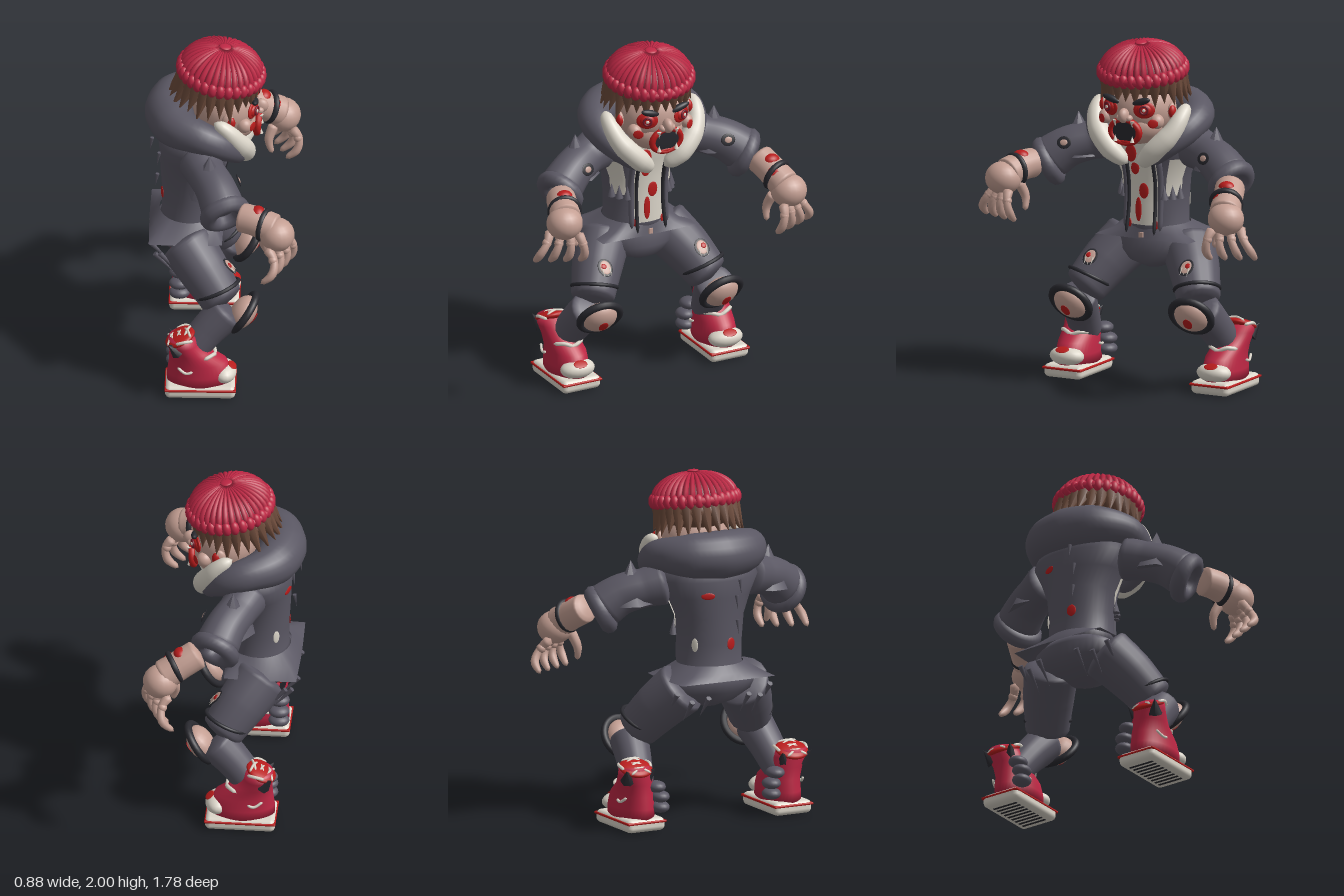
import * as THREE from 'three';
import { mergeVertices } from 'three/addons/utils/BufferGeometryUtils.js';
import { RoundedBoxGeometry } from 'three/addons/geometries/RoundedBoxGeometry.js';

const mat = (name, color) => Object.assign(new THREE.MeshStandardMaterial({ color, side: THREE.DoubleSide }), { name });
const GREY = mat('cloth grey', 0x5a5763), BLACK = mat('black', 0x2a2a30), SKIN = mat('skin', 0xc49f93),
  RED = mat('knit red', 0xbd2744), SEAM = mat('dark seam red', 0x741c2c), BLOOD = mat('blood red', 0xb81c1c),
  HAIR = mat('hair brown', 0x6d4b3b), CREAM = mat('cream', 0xdcd6ca);
const V = (a) => new THREE.Vector3(...a);

export function createModel() {
  const model = new THREE.Group();
  model.name = 'hoodedGhoul';
  let into = model;

  const add = (name, geo, m, pos = [0, 0, 0]) => {
    const mesh = new THREE.Mesh(geo, m);
    mesh.name = name;
    mesh.position.set(...pos);
    into.add(mesh);
    return mesh;
  };
  // Turn a mesh so its z faces a direction while its x stays level
  const aim = (mesh, dir) => {
    mesh.quaternion.setFromRotationMatrix(new THREE.Matrix4().lookAt(V(dir), V([0, 0, 0]), V([0, 1, 0])));
    return mesh;
  };
  const blob = (name, m, pos, size) => {
    const b = add(name, new THREE.SphereGeometry(1, 20, 14), m, pos);
    b.scale.set(...size);
    return b;
  };
  // Thin painted spot facing a direction
  const patch = (name, m, pos, dir, w, h) => aim(blob(name, m, pos, [w, h, 0.0048]), dir);
  const ring = (name, m, pos, dir, r, t) => aim(add(name, new THREE.TorusGeometry(r, t, 10, 32), m, pos), dir);
  const spike = (name, m, pos, dir, r, len) => {
    const c = add(name, new THREE.ConeGeometry(r, len, 7), m, pos);
    c.quaternion.setFromUnitVectors(V([0, 1, 0]), V(dir).normalize());
    return c;
  };
  const smooth = (geo) => {
    geo.deleteAttribute('uv');
    geo.deleteAttribute('normal');
    const g = mergeVertices(geo);
    g.computeVertexNormals();
    return g;
  };
  // Rounded tube of changing radius along a path
  const loft = (name, m, pts, radii, sides = 18, seg = 28, round = 0.08) => {
    const curve = new THREE.CatmullRomCurve3(pts.map(V));
    const geo = new THREE.TubeGeometry(curve, seg, 1, sides);
    const p = geo.attributes.position, v = new THREE.Vector3();
    for (let i = 0; i < p.count; i++) {
      const u = Math.floor(i / (sides + 1)) / seg, c = curve.getPointAt(u);
      const k = u * (radii.length - 1), j = Math.min(Math.floor(k), radii.length - 2);
      const r = THREE.MathUtils.lerp(radii[j], radii[j + 1], k - j);
      const end = Math.min(1, Math.sqrt(Math.min(u, 1 - u) / round));
      v.fromBufferAttribute(p, i).sub(c).multiplyScalar(r * end).add(c);
      p.setXYZ(i, v.x, v.y, v.z);
    }
    return add(name, smooth(geo), m);
  };
  // Stacked ovals: rows of [y, centre x, half x, half z, centre z, squareness], from top to bottom
  const stack = (name, m, rows, grow = 0, start = 0, len = Math.PI * 2) => {
    const n = rows.length - 1, open = len < 6 || grow > 0;
    const geo = new THREE.CylinderGeometry(1, 1, n, 40, n, open, start, len);
    const p = geo.attributes.position;
    for (let i = 0; i < p.count; i++) {
      const [y, cx, rx, rz, cz = 0, sq = 0] = rows[Math.round(n / 2 - p.getY(i))];
      const x = p.getX(i), z = p.getZ(i), k = 1 + sq * (1 / Math.max(Math.abs(x), Math.abs(z), 0.5) - 1);
      p.setXYZ(i, cx + x * k * (rx + grow), y, cz + z * k * (rz + grow));
    }
    return add(name, smooth(geo), m);
  };
  const group = (name, build, pos = [0, 0, 0]) => {
    const g = new THREE.Group(), outer = into;
    g.name = name;
    g.position.set(...pos);
    outer.add(g);
    into = g;
    build();
    into = outer;
    return g;
  };

  // Beanie with ribs and a rolled rim
  group('beanie', () => {
    const dome = add('beanieDome', new THREE.SphereGeometry(1, 36, 10, 0, Math.PI * 2, 0, Math.PI / 2), SEAM);
    dome.scale.set(0.23, 0.155, 0.238);
    for (let i = 0; i < 36; i++) {
      const a = i / 36 * Math.PI * 2, pts = [];
      for (let k = 0; k <= 5; k++) {
        const b = k / 5 * 1.45;
        pts.push([Math.cos(a) * 0.23 * Math.cos(b), 0.155 * Math.sin(b), Math.sin(a) * 0.238 * Math.cos(b)]);
      }
      loft('beanieRib', RED, pts, [0.018, 0.016, 0.011, 0.003], 6, 10);
    }
    for (let i = 0; i < 32; i++) {
      const a = i / 32 * Math.PI * 2;
      blob('rimRib', RED, [Math.cos(a) * 0.232, 0, Math.sin(a) * 0.24], [0.028, 0.042, 0.028]);
    }
    ring('rimCore', RED, [0, 0, 0], [0, 1, 0], 0.233, 0.026);
    blob('beanieButton', RED, [0, 0.158, 0], [0.034, 0.01, 0.034]);
  }, [-0.005, 1.835, 0]).rotation.z = -0.15;

  // Hair: broad overlapping locks, longer and flared at the back
  group('hair', () => {
    blob('hairCap', HAIR, [-0.03, 0.01, 0], [0.228, 0.115, 0.242]);
    for (let i = 0; i < 26; i++) {
      const a = i / 26 * Math.PI * 2, c = Math.cos(a), s = Math.sin(a), back = c < 0.4;
      const len = (back ? 0.17 : 0.13) + (i % 3) * 0.018, lean = back ? 0.55 : 0.2;
      spike('hairLock', HAIR, [c * 0.225 - 0.03, 0.055 - len / 2, s * 0.23], [c * lean, -1, s * lean * 0.6], 0.05, len);
    }
  }, [0, 1.77, 0]).rotation.z = -0.1;

  // Head and face
  group('head', () => {
    blob('skull', SKIN, [0.02, 1.63, 0], [0.19, 0.19, 0.208]);
    blob('jaw', SKIN, [0.07, 1.53, 0], [0.135, 0.115, 0.165]);
    blob('nose', SKIN, [0.222, 1.605, 0], [0.042, 0.043, 0.03]);
    ring('lips', BLOOD, [0.205, 1.51, 0], [1, -0.1, 0], 0.09, 0.019).scale.y = 0.78;
    patch('mouthHole', BLACK, [0.214, 1.512, 0], [1, -0.1, 0], 0.082, 0.062);
    blob('chinBlood', BLOOD, [0.195, 1.447, 0], [0.02, 0.022, 0.065]);
    for (const z of [-0.055, 0.055]) {
      spike('upperTooth', CREAM, [0.222, 1.557, z], [0, -1, 0], 0.015, 0.04);
      spike('lowerTooth', CREAM, [0.222, 1.472, z], [0, 1, 0], 0.014, 0.035);
    }
    for (const s of [-1, 1]) {
      blob('nostril', SKIN, [0.213, 1.59, s * 0.03], [0.025, 0.02, 0.02]);
      const d = [0.9, 0, s * 0.4];
      aim(blob('eyeSocket', BLOOD, [0.178, 1.64, s * 0.108], [0.062, 0.05, 0.014]), d);
      aim(blob('eye', BLOOD, [0.182, 1.64, s * 0.11], [0.044, 0.036, 0.022]), d);
      ring('iris', SEAM, [0.2, 1.642, s * 0.118], d, 0.022, 0.006);
      patch('pupil', CREAM, [0.204, 1.642, s * 0.12], d, 0.01, 0.01);
      blob('brow', BLACK, [0.19, 1.688, s * 0.095], [0.02, 0.02, 0.06]).rotation.x = -s * 0.3;
      blob('cheek', SKIN, [0.13, 1.57, s * 0.165], [0.043, 0.043, 0.04]);
      patch('cheekWound', BLOOD, [0.178, 1.565, s * 0.165], [0.85, 0, s * 0.5], 0.03, 0.026);
      blob('ear', SKIN, [0.04, 1.62, s * 0.215], [0.038, 0.05, 0.022]);
      blob('earWound', BLOOD, [0.055, 1.62, s * 0.222], [0.026, 0.038, 0.022]);
    }
  });

  // Jacket body, shirt and open front
  const body = [[1.56, -0.14, 0.1, 0.14], [1.5, -0.15, 0.19, 0.27], [1.42, -0.16, 0.205, 0.3], [1.32, -0.165, 0.19, 0.25],
    [1.2, -0.175, 0.175, 0.2], [1.05, -0.17, 0.17, 0.19], [0.93, -0.17, 0.17, 0.19], [0.86, -0.18, 0.18, 0.22]];
  stack('jacketBody', GREY, body);
  stack('shirt', CREAM, body.slice(1, 7), 0.008, Math.PI / 2 - 0.48, 0.96);
  for (const s of [-1, 1]) {
    stack('lining', CREAM, [body[3], body[4], [1.1, -0.172, 0.172, 0.193]], 0.006, Math.PI / 2 + s * 0.98 - 0.27, 0.54);
    loft('zip', BLACK, [[0.045, 1.34, s * 0.085], [0.005, 1.18, s * 0.085], [0.005, 1.03, s * 0.085], [0.03, 0.88, s * 0.09]], [0.011, 0.011], 8);
    loft('frontEdge', GREY, [[0.025, 1.33, s * 0.115], [-0.015, 1.18, s * 0.11], [-0.005, 0.9, s * 0.11]], [0.018, 0.016], 8);
    patch('frontWound', BLOOD, [-0.004, 0.935, s * 0.085], [0.9, 0, s * 0.4], 0.015, 0.025);
    // Torn cloth hanging over the lining
    for (const [x, z] of [[-0.02, 0.13], [-0.055, 0.165], [-0.1, 0.19]])
      spike('liningTear', GREY, [x, 1.125, s * z], [0, 1, 0], 0.024, 0.08);
  }
  for (const [y, z, w, h, x] of [[1.35, 0.05, 0.037, 0.05, 0.047], [1.26, 0.035, 0.027, 0.037, 0.022], [1.13, -0.015, 0.03, 0.045, 0.011], [1.02, 0.02, 0.02, 0.07, 0.01]])
    patch('shirtBlood', BLOOD, [x, y, z], [1, 0, z], w, h);
  patch('backWound', BLOOD, [-0.343, 1.34, -0.1], [-1, 0, -0.4], 0.04, 0.02);
  patch('backWound', BLOOD, [-0.338, 1.05, 0.05], [-1, 0, 0.25], 0.028, 0.035);
  patch('backTear', CREAM, [-0.28, 1.05, -0.152], [-0.65, 0, -0.9], 0.02, 0.04);
  for (const [x, y] of [[-0.36, 1.29], [-0.37, 1.15], [-0.4, 1.39]])
    spike('backTatter', GREY, [x, y, 0.08], [-0.15, -1, 0], 0.012, 0.08);

  // Hood with lining
  const half = [[0.08, 1.31, 0.08], [0.085, 1.41, 0.2], [0.0, 1.5, 0.275], [-0.12, 1.555, 0.28], [-0.25, 1.565, 0.18]];
  const flip = ([x, y, z]) => [x, y, -z];
  loft('hood', GREY, [...half, [-0.3, 1.565, 0], ...half.map(flip).reverse()],
    [0.035, 0.06, 0.085, 0.1, 0.13, 0.14, 0.13, 0.1, 0.085, 0.06, 0.035], 20, 60, 0.03);
  for (const s of [-1, 1])
    loft('hoodLining', CREAM, [[0.1, 1.3, 0.04 * s], [0.135, 1.39, 0.14 * s], [0.095, 1.5, 0.24 * s], [0.03, 1.6, 0.275 * s], [-0.04, 1.65, 0.27 * s]],
      [0.035, 0.06, 0.062, 0.05, 0.03]);

  // Square-cornered hem, belt and hips
  stack('jacketHem', GREY, [[0.93, -0.18, 0.17, 0.19], [0.885, -0.195, 0.195, 0.25, 0, 0.4], [0.85, -0.2, 0.208, 0.305, 0, 0.9]], 0.004);
  stack('hips', GREY, [[0.89, -0.19, 0.16, 0.2], [0.84, -0.195, 0.19, 0.27], [0.77, -0.18, 0.18, 0.25], [0.71, -0.16, 0.15, 0.15], [0.67, -0.15, 0.06, 0.05]]);
  add('buckle', new THREE.BoxGeometry(0.01, 0.03, 0.025), SKIN, [0.018, 0.875, 0]);

  for (const s of [-1, 1]) {
    const P = (x, y, z) => [x, y, z * s];

    // Arms: sleeve, wrist and hand; one hand hangs lower
    group('arm', () => {
      const dy = s > 0 ? 0 : -0.09, axis = P(0.35, -0.45, 0.75);
      loft('sleeve', GREY, [P(-0.13, 1.4, 0.24), P(-0.08, 1.37, 0.37), P(-0.02, 1.33, 0.49), P(0.03, 1.25, 0.6)], [0.13, 0.112, 0.118, 0.13]);
      ring('sleeveCuff', GREY, P(0.03, 1.245, 0.59), axis, 0.1, 0.048);
      spike('sleevePeak', GREY, P(-0.06, 1.41, 0.44), P(0, 1, 0.05), 0.13, 0.25);
      const tear = P(0.9, 0.3, -0.2);
      patch('sleeveTear', BLACK, P(0.105, 1.38, 0.45), tear, 0.042, 0.036);
      patch('sleeveSkin', SKIN, P(0.109, 1.381, 0.45), tear, 0.022, 0.018);
      loft('forearm', SKIN, [P(0.11, 1.25, 0.63), P(0.2, 1.245 + dy * 0.5, 0.665), P(0.33, 1.21 + dy, 0.71)], [0.085, 0.085, 0.09]);
      ring('wristBand', BLACK, P(0.255, 1.23 + dy * 0.6, 0.68), P(0.9, -0.1 + dy * 3, 0.35), 0.082, 0.017);
      blob('wristWound', BLOOD, P(0.22, 1.3 + dy * 0.5, 0.665), [0.042, 0.037, 0.05]);
      patch('wristWound', BLOOD, P(0.3, 1.275 + dy * 0.6, 0.635), P(0.7, 0.5, -0.5), 0.03, 0.025);
      blob('palm', SKIN, P(0.33, 1.19 + dy, 0.72), [0.1, 0.095, 0.105]);
      for (let i = 0; i < 4; i++) {
        const x = 0.375 - i * 0.035, z = 0.66 + i * 0.04, e = 0.635 + i * 0.077, y = 1.14 + dy;
        loft('finger', SKIN, [P(x, y, z), P(x + 0.045, y - 0.06, (z + e) / 2), P(x + 0.035, y - 0.13, e), P(x - 0.03, y - 0.19, e)], [0.032, 0.022, 0.025, 0.014], 10, 14);
        blob('knuckle', SKIN, P(x + 0.04, y - 0.06, (z + e) / 2), [0.027, 0.027, 0.027]);
      }
      loft('thumb', SKIN, [P(0.28, 1.17 + dy, 0.65), P(0.25, 1.08 + dy, 0.62), P(0.27, 1.0 + dy, 0.61)], [0.032, 0.026, 0.014], 10, 14);
    });

    // Legs: trousers with bands, tears and bare knees
    group('leg', () => {
      const front = P(0.82, -0.55, 0.08), tear = P(0.75, 0.66, 0);
      loft('thigh', GREY, [P(-0.22, 0.82, 0.17), P(-0.1, 0.68, 0.28), P(0.03, 0.51, 0.385)], [0.16, 0.145, 0.12]);
      loft('shin', GREY, [P(0.06, 0.5, 0.4), P(-0.07, 0.37, 0.43), P(-0.19, 0.22, 0.465)], [0.115, 0.1, 0.09]);
      ring('thighBand', BLACK, P(-0.015, 0.59, 0.345), P(0.15, -0.32, 0.1), 0.128, 0.011);
      ring('kneeRing', BLACK, P(0.135, 0.465, 0.39), front, 0.118, 0.022);
      aim(blob('knee', SKIN, P(0.13, 0.465, 0.39), [0.104, 0.104, 0.07]), front);
      patch('kneeWound', BLOOD, P(0.19, 0.428, 0.395), front, 0.028, 0.038);
      patch('thighTear', BLACK, P(0.05, 0.722, 0.31), tear, 0.045, 0.055);
      patch('thighSkin', SKIN, P(0.053, 0.725, 0.31), tear, 0.033, 0.042);
      patch('thighWound', BLOOD, P(0.052, 0.733, 0.32), tear, 0.016, 0.016);
      for (const z of [0.288, 0.31, 0.332])
        spike('tearFringe', CREAM, P(0.074, 0.7, z), P(0.66, -0.75, 0), 0.007, 0.05);
      patch('shinTear', SKIN, P(-0.005, 0.32, 0.455), P(0.8, -0.5, 0.2), 0.03, 0.035);
      loft('sideSeam', HAIR, [P(-0.17, 0.72, 0.39), P(-0.12, 0.65, 0.41), P(-0.1, 0.57, 0.43)], [0.006, 0.006], 6);
      for (const [x, y, z] of [[-0.35, 0.7, 0.13], [-0.32, 0.68, 0.22], [-0.29, 0.73, 0.3]])
        spike('trouserTatter', GREY, P(x, y, z), [0.65, -0.75, 0], 0.016, 0.17);
      for (const [y, z] of [[0.13, 0.36], [0.19, 0.36], [0.25, 0.385]])
        blob('heelFold', GREY, P(-0.25, y, z), [0.06, 0.034, 0.053]);
    });

    // High-top shoes with a laced tongue leaning back
    group('shoe', () => {
      add('sole', new RoundedBoxGeometry(0.4, 0.077, 0.245, 3, 0.03), CREAM, P(-0.11, 0.0415, 0.475));
      add('soleStripe', new RoundedBoxGeometry(0.406, 0.014, 0.251, 2, 0.006), BLOOD, P(-0.11, 0.058, 0.475));
      for (let i = 0; i < 9; i++)
        add('tread', new THREE.BoxGeometry(0.014, 0.006, 0.16), BLACK, P(-0.25 + i * 0.035, 0.003, 0.475));
      stack('shoeUpper', RED, [[0.375, -0.215, 0.075, 0.09, 0.51], [0.33, -0.21, 0.088, 0.1, 0.5], [0.27, -0.175, 0.112, 0.1, 0.485],
        [0.2, -0.125, 0.165, 0.105, 0.475], [0.13, -0.115, 0.185, 0.112, 0.475], [0.07, -0.115, 0.185, 0.112, 0.475]]
        .map(([y, x, a, b, z]) => [y, x, a, b, z * s]));
      blob('toeCap', CREAM, P(0.025, 0.125, 0.475), [0.07, 0.055, 0.105]);
      patch('toeBlood', BLOOD, P(0.071, 0.168, 0.48), [0.5, 0.85, 0], 0.042, 0.028);
      aim(blob('tongue', BLOOD, P(-0.225, 0.365, 0.505), [0.1, 0.09, 0.03]), [-0.4, 0.9, 0]);
      for (let i = 0; i < 3; i++) {
        const x = -0.165 - i * 0.045, y = 0.412 - i * 0.02;
        for (const e of [-1, 1])
          loft('lace', CREAM, [P(x, y - 0.012, 0.505 - e * 0.065), P(x - 0.02, y, 0.505), P(x - 0.04, y - 0.03, 0.505 + e * 0.065)], [0.008, 0.008], 6, 10);
      }
      for (const e of [-1, 1]) {
        loft('collarEdge', CREAM, [P(-0.15, 0.38, 0.5 + e * 0.075), P(-0.2, 0.385, 0.505 + e * 0.095), P(-0.25, 0.365, 0.505 + e * 0.085)], [0.01, 0.01], 6, 10);
        spike('collarTip', BLACK, P(-0.265, 0.335, 0.505 + e * 0.075), P(-0.5, 0.6, e * 0.35), 0.045, 0.09);
        loft('sideLace', CREAM, [P(-0.24, 0.2, 0.475 + e * 0.095), P(-0.19, 0.17, 0.475 + e * 0.112), P(-0.15, 0.18, 0.475 + e * 0.11)], [0.008, 0.008], 6, 10);
      }
      loft('ankleTrim', CREAM, [P(-0.09, 0.25, 0.385), P(-0.035, 0.255, 0.43), P(-0.03, 0.24, 0.475), P(-0.035, 0.26, 0.52), P(-0.09, 0.25, 0.57)], [0.012, 0.012], 6, 14);
    });
  }
  return model;
}
